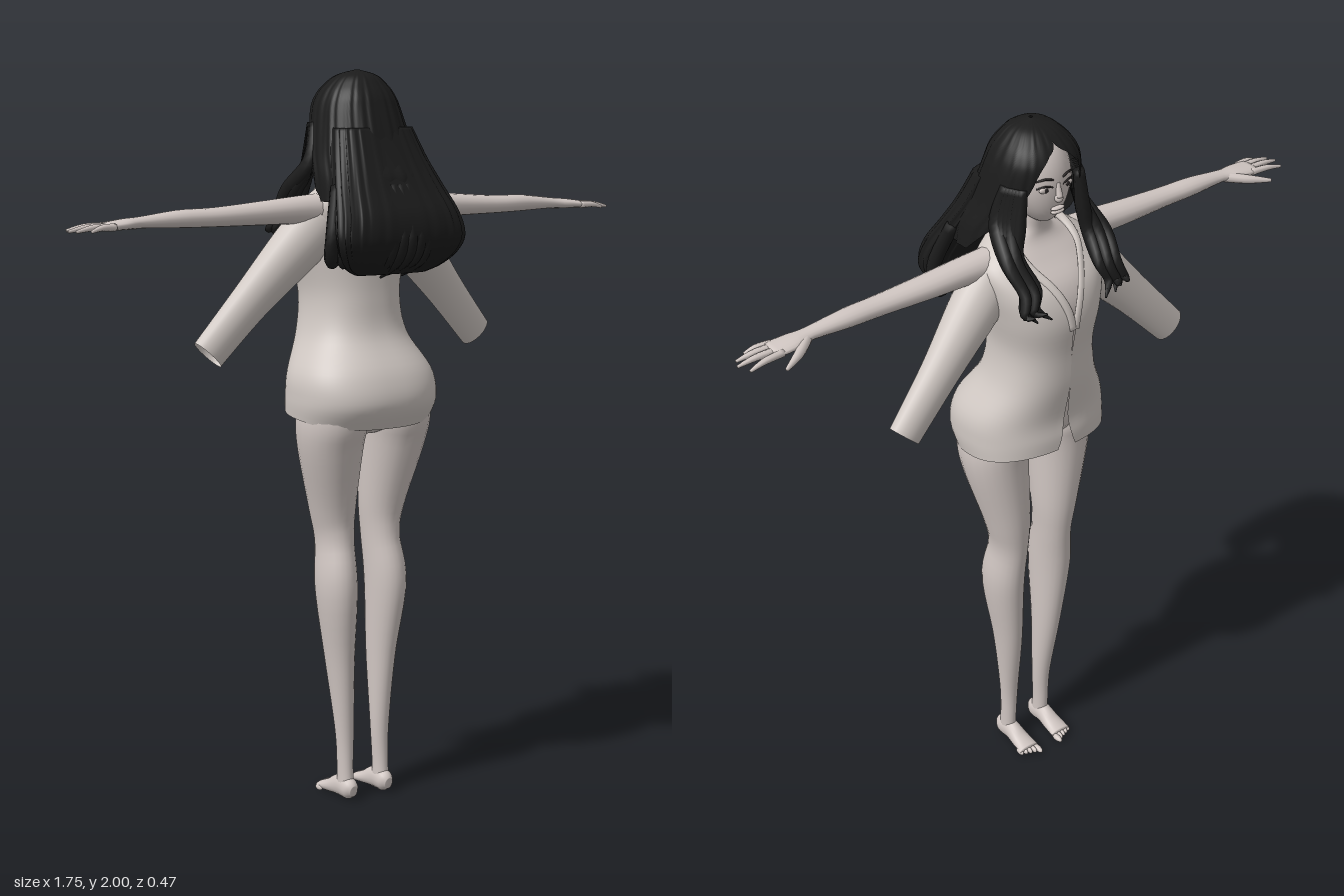
import * as THREE from 'three';

const mat = (name, color, side = THREE.FrontSide) => {
  const m = new THREE.MeshStandardMaterial({ color, side });
  m.name = name;
  return m;
};

// Smooth interpolation of every column of a table of rows, t in 0..1
function spline(rows, t) {
  const n = rows.length - 1, f = Math.min(t, 1) * n, i = Math.min(Math.floor(f), n - 1), k = f - i;
  const at = (j) => rows[Math.max(0, Math.min(n, j))];
  return rows[0].map((_, c) => {
    const [a, b, d, e] = [at(i - 1)[c], at(i)[c], at(i + 1)[c], at(i + 2)[c]];
    return b + 0.5 * k * (d - a + k * (2 * a - 5 * b + 4 * d - e + k * (3 * (b - d) + e - a)));
  });
}

// Surface from rings of points; optionally wrapped and capped
function skinRings(rings, wrap, cap) {
  const n = rings[0].length;
  if (cap) {
    const mid = (r) => {
      const c = [0, 1, 2].map((k) => r.reduce((s, p) => s + p[k], 0) / n);
      return r.map(() => c);
    };
    rings = [mid(rings[0]), ...rings, mid(rings[rings.length - 1])];
  }
  const idx = [];
  for (let i = 0; i < rings.length - 1; i++) {
    for (let j = 0; j < (wrap ? n : n - 1); j++) {
      const a = i * n + j, b = i * n + (j + 1) % n;
      idx.push(a, a + n, b, b, a + n, b + n);
    }
  }
  const g = new THREE.BufferGeometry();
  g.setAttribute('position', new THREE.Float32BufferAttribute(rings.flat(2), 3));
  g.setIndex(idx);
  g.computeVertexNormals();
  return g;
}

// Limb along a path of [x, y, z, radius along U, radius across U]
const Z = new THREE.Vector3(0, 0, 1), Y = new THREE.Vector3(0, 1, 0);
function sweep(rows, { U = Z, segs = 16, steps = 24, cap = true } = {}) {
  const P = (t) => new THREE.Vector3(...spline(rows, t).slice(0, 3));
  const rings = [];
  for (let i = 0; i <= steps; i++) {
    const t = i / steps, [x, y, z, ra, rb] = spline(rows, t);
    const d = P(Math.min(1, t + 0.01)).sub(P(Math.max(0, t - 0.01))).normalize();
    const v = d.clone().cross(U).normalize(), u = v.clone().cross(d);
    rings.push(Array.from({ length: segs }, (_, j) => {
      const a = j / segs * Math.PI * 2, c = Math.cos(a) * rb, s = Math.sin(a) * ra;
      return [x + v.x * c + u.x * s, y + v.y * c + u.y * s, z + v.z * c + u.z * s];
    }));
  }
  return skinRings(rings, true, cap);
}

// Point on a body shell of rows [y, half width, front z, back z, front gap angle, front lift]
const power = (v, e) => Math.sign(v) * Math.abs(v) ** e;
function shellPoint(rows, t, s, e, ridge = 0) {
  const [y, rx, zf, zb, gap = 0, lift = 0] = spline(rows, t);
  const g = Math.max(gap, 0), a = g + s * (Math.PI * 2 - 2 * g), c = Math.cos(a);
  const k = 1 + ridge * (Math.sin(a * 23) + 0.6 * Math.sin(a * 37 + t * 5));
  return [rx * k * power(Math.sin(a), e), y + lift * (1 + c) / 2,
    (zf + zb) / 2 - k * (zb - zf) / 2 * power(c, e)];
}
function shell(rows, { segs = 48, steps = 48, e = 0.85, ridge = 0, open = false, cap = !open } = {}) {
  const rings = [];
  for (let i = 0; i <= steps; i++) {
    rings.push(Array.from({ length: open ? segs + 1 : segs },
      (_, j) => shellPoint(rows, i / steps, j / segs, e, ridge)));
  }
  return skinRings(rings, !open, cap);
}

export function createModel() {
  const root = new THREE.Group();
  root.name = 'woman';
  const skin = mat('skin', 0xd0c6c2);
  const cloth = mat('jacket cloth', 0xd0c8c3, THREE.DoubleSide);
  const black = mat('black hair', 0x1b1b1b, THREE.DoubleSide);
  const dark = mat('eye line', 0x2b2727);
  const add = (name, geo, m) => {
    const mesh = new THREE.Mesh(geo, m);
    mesh.name = name;
    root.add(mesh);
    return mesh;
  };
  const ball = (name, m, x, y, z, a, b, c) => {
    const mesh = add(name, new THREE.SphereGeometry(1, 24, 16), m);
    mesh.position.set(x, y, z);
    mesh.scale.set(a, b, c);
    return mesh;
  };

  // Torso and neck
  add('torso', shell([
    [1.03, 0.03, -0.01, 0.05], [1.07, 0.13, -0.07, 0.12], [1.15, 0.18, -0.12, 0.14],
    [1.3, 0.132, -0.13, 0.08], [1.4, 0.118, -0.14, 0.065], [1.5, 0.135, -0.172, 0.06],
    [1.58, 0.15, -0.153, 0.058], [1.64, 0.153, -0.1, 0.055], [1.68, 0.1, -0.068, 0.05],
    [1.71, 0.052, -0.062, 0.045], [1.75, 0.042, -0.07, 0.03], [1.8, 0.042, -0.08, 0.02]]), skin);

  // Head: skull narrowing to the chin
  const skull = new THREE.SphereGeometry(1, 32, 24), p = skull.attributes.position;
  for (let i = 0; i < p.count; i++) {
    const y = p.getY(i), k = y < 0 ? 1 - 0.28 * y * y : 1;
    p.setXYZ(i, p.getX(i) * 0.086 * k, 1.855 + y * 0.12, -0.04 + p.getZ(i) * 0.085 - (y < 0 ? 0.018 * y * y : 0));
  }
  skull.computeVertexNormals();
  add('head', skull, skin);
  ball('nose', skin, 0, 1.822, -0.126, 0.011, 0.012, 0.012);
  add('noseBridge', sweep([[0, 1.862, -0.121, 0.005, 0.006], [0, 1.825, -0.13, 0.009, 0.009]], { steps: 6 }), skin);
  for (const [y, r] of [[1.793, 0.005], [1.784, 0.006]]) ball('lip', skin, 0, y, -0.122, 0.021, r, 0.009);

  for (const s of [1, -1]) {
    const side = s > 0 ? 'left' : 'right';
    const mirror = (rows) => rows.map(([x, ...r]) => [x * s, ...r]);

    // Eyes and brows
    ball(side + 'Eye', skin, s * 0.035, 1.85, -0.114, 0.017, 0.009, 0.007);
    ball(side + 'Iris', dark, s * 0.034, 1.849, -0.1195, 0.006, 0.007, 0.003);
    for (const [name, y, r] of [['Lashes', 1.857, 0.0025], ['Brow', 1.877, 0.003]]) {
      add(side + name, sweep(mirror([[0.015, y - 0.003, -0.122, r, r], [0.035, y + 0.003, -0.119, r, r],
        [0.056, y - 0.003, -0.106, r, 0.001]]), { U: Y, segs: 6, steps: 10 }), dark);
    }

    // Leg, foot and toes
    add(side + 'Leg', sweep(mirror([
      [0.06, 0.03, 0.014, 0.028, 0.022], [0.06, 0.09, 0.011, 0.026, 0.021], [0.06, 0.2, 0.008, 0.029, 0.026],
      [0.07, 0.4, 0, 0.05, 0.038], [0.083, 0.6, 0.003, 0.071, 0.053], [0.077, 0.73, -0.014, 0.064, 0.05],
      [0.083, 0.83, -0.016, 0.071, 0.063], [0.103, 1, 0.005, 0.095, 0.088],
      [0.105, 1.08, 0.015, 0.11, 0.092], [0.1, 1.16, 0.015, 0.1, 0.08]]), { segs: 24, steps: 44 }), skin);
    add(side + 'Foot', sweep(mirror([
      [0.06, 0.026, 0.054, 0.016, 0.012], [0.06, 0.03, 0.035, 0.03, 0.024], [0.06, 0.032, -0.005, 0.032, 0.024],
      [0.06, 0.02, -0.05, 0.02, 0.029], [0.06, 0.012, -0.088, 0.012, 0.032]]), { U: Y }), skin);
    for (let i = 0; i < 5; i++) {
      ball(side + 'Toe', skin, s * (0.037 + i * 0.0125), 0.009, -0.098 + i * 0.005,
        i ? 0.0065 : 0.009, 0.009, i ? 0.016 : 0.022);
    }

    // Arm, palm, fingers and thumb
    add(side + 'Arm', sweep(mirror([
      [0.1, 1.635, -0.01, 0.045, 0.045], [0.2, 1.636, -0.008, 0.041, 0.037], [0.32, 1.632, -0.007, 0.038, 0.031],
      [0.46, 1.628, -0.003, 0.032, 0.025], [0.56, 1.628, -0.004, 0.03, 0.023],
      [0.67, 1.624, -0.003, 0.022, 0.015], [0.72, 1.621, -0.005, 0.034, 0.014],
      [0.78, 1.617, -0.002, 0.037, 0.01]])), skin);
    for (const [z0, x1, z1] of [[-0.029, 0.86, -0.041], [-0.01, 0.873, -0.005], [0.01, 0.863, 0.018], [0.026, 0.83, 0.036]]) {
      add(side + 'Finger', sweep(mirror([[0.76, 1.617, z0, 0.01, 0.01],
        [(0.77 + x1) / 2, 1.617, (z0 + z1) / 2, 0.009, 0.008], [x1, 1.609, z1, 0.004, 0.004]]), { segs: 8, steps: 8 }), skin);
    }
    add(side + 'Thumb', sweep(mirror([[0.68, 1.62, -0.012, 0.014, 0.013], [0.73, 1.614, -0.052, 0.012, 0.012],
      [0.785, 1.606, -0.083, 0.005, 0.005]]), { U: Y, segs: 10, steps: 10 }), skin);

    // Sleeve hanging off the shoulder
    add(side + 'Sleeve', sweep(mirror([[0.12, 1.6, -0.018, 0.06, 0.075], [0.19, 1.535, -0.027, 0.062, 0.072],
      [0.32, 1.4, -0.048, 0.045, 0.056], [0.445, 1.265, -0.062, 0.034, 0.049]]), { cap: false, segs: 24 }), cloth);

    // Wavy locks falling over the chest
    for (let i = 0; i < 6; i++) {
      const q = i - 2.5, w = Math.sin(i * 2.3) * 0.014;
      add(side + 'FrontLock', sweep(mirror([
        [0.1 + q * 0.004, 1.86, -0.075 + q * 0.008, 0.014, 0.014], [0.118 + q * 0.006, 1.76, -0.07 + q * 0.01, 0.022, 0.018],
        [0.135 + q * 0.008, 1.685, -0.105 + w, 0.021, 0.017], [0.125 + q * 0.009, 1.62, -0.165 + w, 0.016, 0.014],
        [0.14 + q * 0.009, 1.575, -0.185 + w, 0.012, 0.011],
        [0.12 + q * 0.013, 1.545 + i % 3 * 0.016, -0.212 + w, 0.002, 0.002]]), { segs: 8 }), black);
    }
  }

  // Jacket with an open neckline and a small slit at the hem
  const jacket = [
    [1.055, 0.203, -0.17, 0.142, 0.1, 0.05], [1.12, 0.208, -0.17, 0.176, 0.05, 0.02], [1.2, 0.2, -0.165, 0.158, 0.015, 0],
    [1.3, 0.148, -0.18, 0.095, 0, 0], [1.4, 0.132, -0.185, 0.078, 0, 0], [1.5, 0.15, -0.195, 0.074, 0.03, 0],
    [1.58, 0.168, -0.175, 0.07, 0.17, 0], [1.64, 0.172, -0.125, 0.068, 0.4, 0],
    [1.69, 0.12, -0.085, 0.066, 0.75, 0], [1.725, 0.068, -0.045, 0.056, 1.2, 0]];
  add('jacket', shell(jacket, { open: true, segs: 64 }), cloth);
  // Lapel edges follow the neckline
  for (const s of [0, 1]) {
    const edge = Array.from({ length: 9 }, (_, i) => [...shellPoint(jacket, 0.53 + i * 0.0587, s, 0.85), 0.006, 0.011]);
    add('lapel', sweep(edge, { segs: 8 }), cloth);
  }

  // Hair cap, open around the face
  add('hairCap', shell([
    [1.66, 0.16, -0.06, 0.18, 1.5], [1.72, 0.155, -0.08, 0.175, 1.15], [1.78, 0.139, -0.11, 0.135, 0.85],
    [1.85, 0.124, -0.13, 0.11, 0.64], [1.9, 0.113, -0.136, 0.092, 0.5], [1.93, 0.102, -0.128, 0.08, 0.3],
    [1.957, 0.084, -0.108, 0.062, 0.02], [1.985, 0.052, -0.072, 0.035, 0], [2, 0.004, -0.02, -0.01, 0]],
  { open: true, segs: 128, ridge: 0.009 }), black);

  // Long hair down the back, curling under at the ends
  add('backHair', shell([
    [1.47, 0.11, 0.115, 0.16], [1.49, 0.15, 0.12, 0.19], [1.525, 0.182, 0.135, 0.222], [1.57, 0.198, 0.14, 0.238],
    [1.63, 0.188, 0.11, 0.228], [1.7, 0.164, 0.07, 0.185], [1.77, 0.14, 0.03, 0.145], [1.85, 0.118, 0, 0.105]],
  { segs: 128, e: 0.7, ridge: 0.015 }), black);
  for (let i = 0; i < 15; i++) {
    const k = (i - 7) / 7, x = k * 0.19, c = 1 - k * k * 0.35, low = 1.458 + k * k * 0.045 + (i % 3) * 0.008;
    add('hairEnd', sweep([[x * 0.8, 1.7, 0.17 * c, 0.016, 0.02], [x, 1.58, 0.224 * c, 0.018, 0.02],
      [x * 0.97, 1.51, 0.2 * c, 0.017, 0.018], [x * 0.84, low, 0.125, 0.003, 0.004]], { segs: 8, steps: 14 }), black);
  }
  return root;
}
